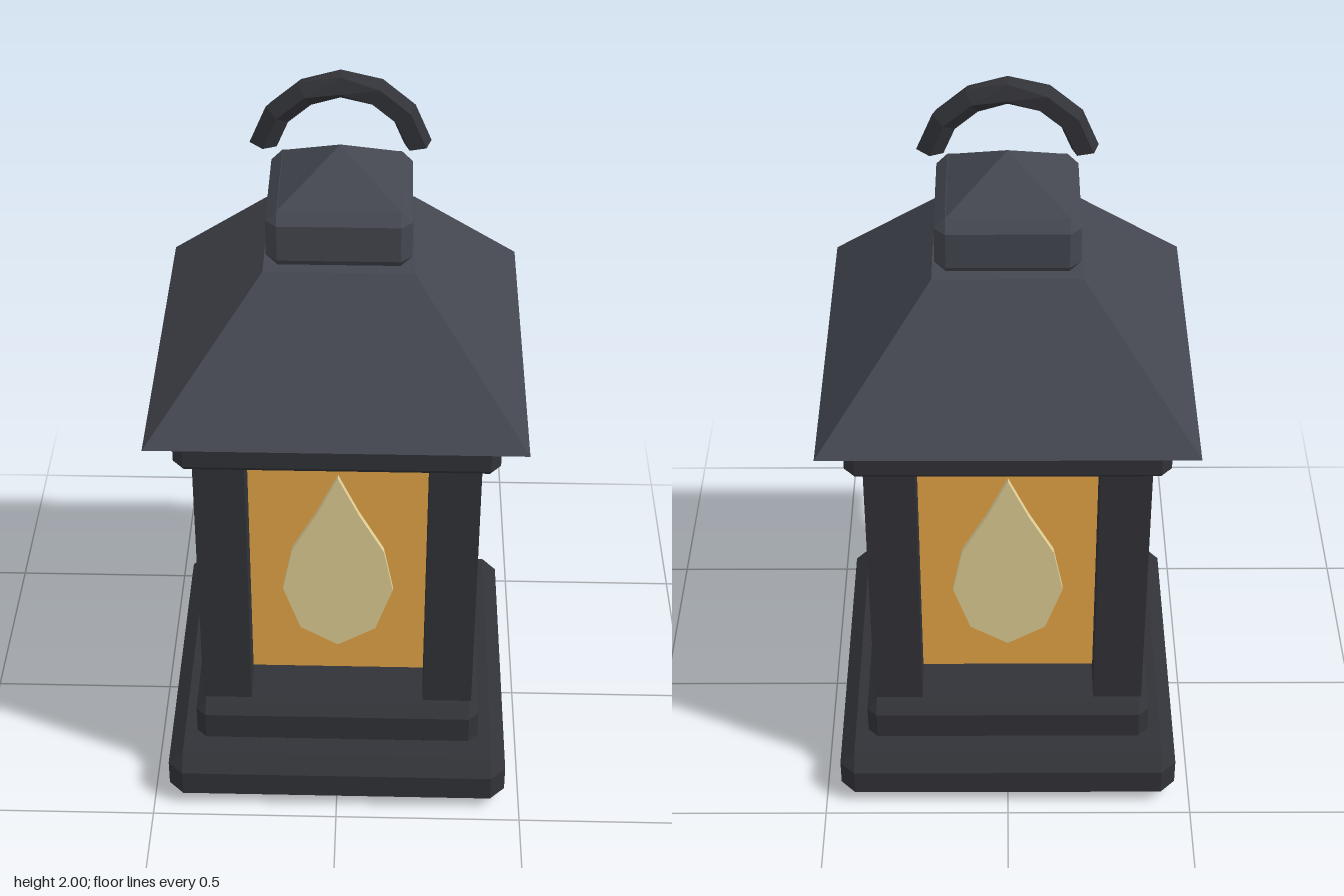
import * as THREE from 'three';
import { ConvexGeometry } from 'three/addons/geometries/ConvexGeometry.js';

const material = (color) => new THREE.MeshStandardMaterial({ color, flatShading: true });

// Square block with chamfered edges, standing on y0
function chamferedBlock(half, y0, y1, bevel) {
  const h = (y1 - y0) / 2, points = [];
  for (const sx of [-1, 1]) for (const sy of [-1, 1]) for (const sz of [-1, 1]) {
    for (let axis = 0; axis < 3; axis++) {
      const d = [half, h, half].map((v, i) => (i === axis ? v : v - bevel));
      points.push(new THREE.Vector3(sx * d[0], sy * d[1], sz * d[2]));
    }
  }
  return new ConvexGeometry(points).translate(0, (y0 + y1) / 2, 0);
}

// Four-sided frustum or pyramid aligned with the axes
function squareTaper(topHalf, bottomHalf, y0, y1) {
  return new THREE.CylinderGeometry(topHalf * Math.SQRT2, bottomHalf * Math.SQRT2, y1 - y0, 4)
    .rotateY(Math.PI / 4)
    .translate(0, (y0 + y1) / 2, 0);
}

// Five-sided hoop that twists slightly across its crown
function hoopGeometry() {
  const steps = 6, sides = 5, radius = 0.19, tube = 0.035, centreY = 1.777;
  const start = Math.PI - 0.17, end = 0.17;
  const twists = [0, 0, 0, 0.5, 1, 1, 1];
  const positions = [], index = [];
  for (let i = 0; i <= steps; i++) {
    const a = start + (end - start) * i / steps;
    for (let j = 0; j < sides; j++) {
      const p = Math.PI / 2 + j * 2 * Math.PI / sides + twists[i] * Math.PI / sides;
      const r = radius + tube * Math.cos(p);
      positions.push(r * Math.cos(a), centreY + r * Math.sin(a), tube * Math.sin(p));
    }
  }
  for (let i = 0; i < steps; i++) {
    for (let j = 0; j < sides; j++) {
      const a = i * sides + j, b = i * sides + (j + 1) % sides;
      index.push(a, a + sides, b, b, a + sides, b + sides);
    }
  }
  // End caps
  const last = steps * sides;
  for (let j = 1; j < sides - 1; j++) {
    index.push(0, j, j + 1, last, last + j + 1, last + j);
  }
  const geometry = new THREE.BufferGeometry();
  geometry.setAttribute('position', new THREE.Float32BufferAttribute(positions, 3));
  geometry.setIndex(index);
  geometry.computeVertexNormals();
  return geometry;
}

export function createModel() {
  const group = new THREE.Group();
  const iron = material(0x323338);
  const roofing = material(0x444750);
  const amber = material(0xe8a748);
  const flameYellow = material(0xe3d096);
  iron.side = THREE.DoubleSide;

  const add = (name, geometry, mat) => {
    const mesh = new THREE.Mesh(geometry, mat);
    mesh.name = name;
    group.add(mesh);
    return mesh;
  };

  // Stepped foot
  add('base', chamferedBlock(0.46, 0, 0.155, 0.04), iron);
  add('baseStep', chamferedBlock(0.383, 0.155, 0.287, 0.026), iron);

  // Corner posts
  for (const sx of [-1, 1]) for (const sz of [-1, 1]) {
    add('cornerPost', new THREE.BoxGeometry(0.13, 0.79, 0.13), iron)
      .position.set(sx * 0.296, 0.705, sz * 0.296);
  }

  // Glowing glass body
  add('glass', new THREE.BoxGeometry(0.53, 0.76, 0.53), amber).position.y = 0.72;

  // One flame plate on each side of the glass
  const right = [[0.055, 0.88], [0.12, 0.76], [0.145, 0.63], [0.1, 0.495]];
  const outline = [
    [0, 0.435],
    ...right.slice().reverse(),
    [0, 1],
    ...right.map(([x, y]) => [-x, y]),
  ].map(([x, y]) => new THREE.Vector2(x, y));
  const flame = new THREE.ExtrudeGeometry(new THREE.Shape(outline), { depth: 0.025, bevelEnabled: false })
    .translate(0, 0, 0.257);
  for (let i = 0; i < 4; i++) {
    add('flame', flame, flameYellow).rotation.y = i * Math.PI / 2;
  }

  // Collar, sloping roof and pointed cap
  add('collar', chamferedBlock(0.405, 1.098, 1.222, 0.026), iron);
  add('roof', squareTaper(0.185, 0.468, 1.22, 1.555), roofing);
  add('cap', chamferedBlock(0.178, 1.555, 1.706, 0.028), roofing);
  add('capPoint', squareTaper(0, 0.15, 1.705, 1.805), roofing);

  // Carrying hoop
  add('handle', hoopGeometry(), iron);

  return group;
}
